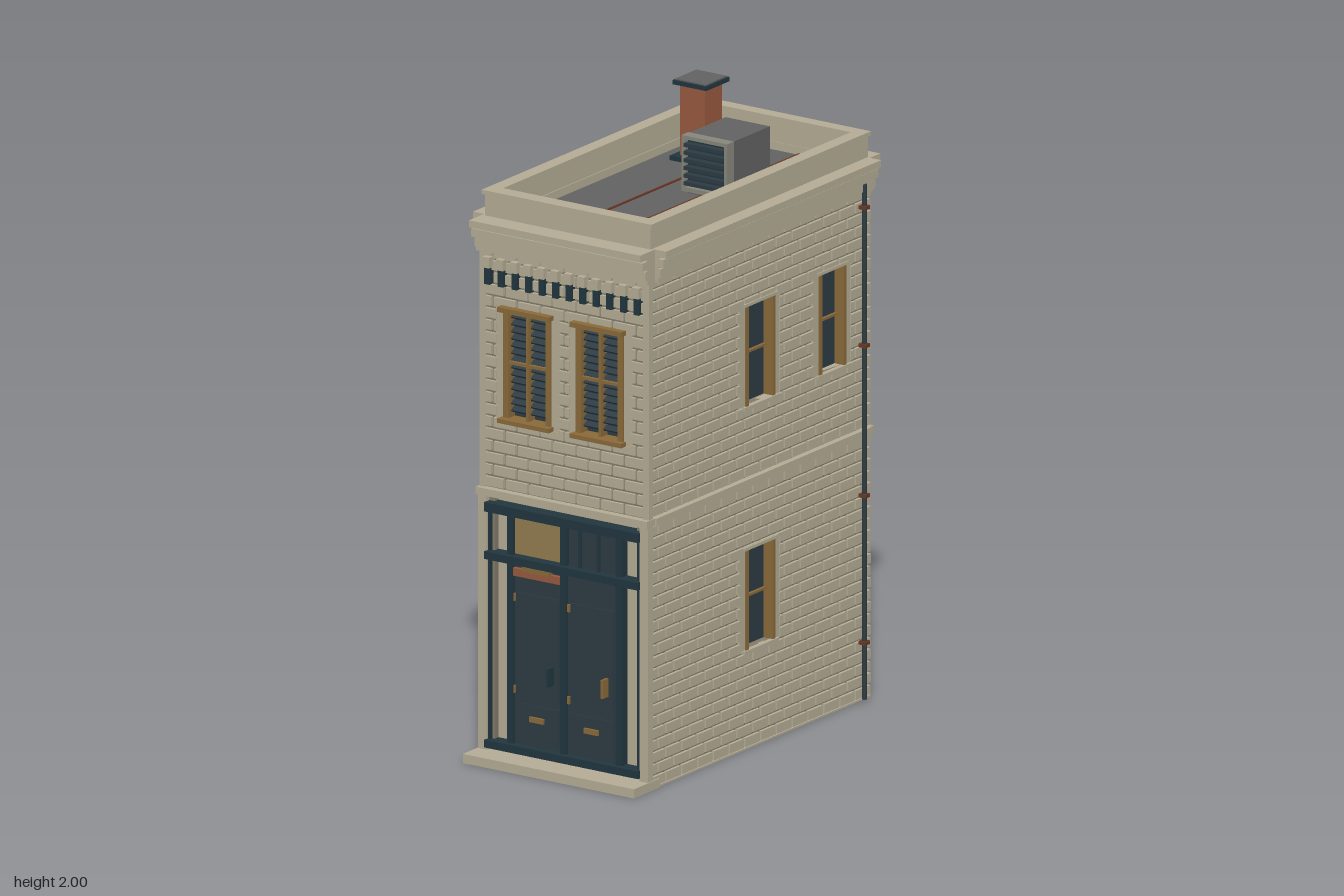
import * as THREE from 'three';
import { mergeGeometries } from 'three/addons/utils/BufferGeometryUtils.js';

const paint = (name, color) => {
  const m = new THREE.MeshStandardMaterial({ color });
  m.name = name;
  return m;
};
const stone = paint('stone', 0xb4ac95), mortar = paint('mortar', 0x827b69);
const roofing = paint('roofing', 0x636263), glass = paint('glass', 0x2d3b43);
const navy = paint('navy', 0x22363f), wood = paint('wood', 0x8a6a3a);
const clay = paint('clay', 0x98593f), rust = paint('rust', 0x6b3826);
const tan = paint('tan', 0x937c50), metal = paint('metal', 0x88867c);

// Box geometry from its minimum and maximum corners
const boxGeo = (x0, x1, y0, y1, z0, z1) =>
  new THREE.BoxGeometry(x1 - x0, y1 - y0, z1 - z0).translate((x0 + x1) / 2, (y0 + y1) / 2, (z0 + z1) / 2);

function add(parent, name, mat, geos) {
  const mesh = new THREE.Mesh(Array.isArray(geos) ? mergeGeometries(geos) : geos, mat);
  mesh.name = name;
  parent.add(mesh);
  return mesh;
}

function group(parent, name) {
  const g = new THREE.Group();
  g.name = name;
  parent.add(g);
  return g;
}

// Running-bond courses, cut away around openings [u0, u1, y0, y1]
function brickCourses(u0, u1, y0, y1, holes) {
  const rows = Math.round((y1 - y0) / 0.0395), pitch = (y1 - y0) / rows;
  const cols = Math.round((u1 - u0) / 0.087), step = (u1 - u0) / cols;
  const out = [];
  for (let r = 0; r < rows; r++) {
    const b = y0 + r * pitch + 0.0045, t = b + pitch - 0.009;
    for (let c = 0; c <= cols; c++) {
      const s = u0 + (c - (r % 2) / 2) * step;
      let parts = [[Math.max(s + 0.004, u0), Math.min(s + step - 0.004, u1), b, t]];
      for (const [h0, h1, g0, g1] of holes) {
        parts = parts.flatMap(([p, q, l, h]) => {
          if (h <= g0 || l >= g1 || q <= h0 || p >= h1) return [[p, q, l, h]];
          const m0 = Math.max(p, h0), m1 = Math.min(q, h1);
          return [[p, m0, l, h], [m1, q, l, h], [m0, m1, l, g0], [m0, m1, g1, h]];
        });
      }
      for (const [p, q, l, h] of parts)
        if (q - p > 0.006 && h - l > 0.004) out.push(boxGeo(p, q, l, h, -0.005, 0.01));
    }
  }
  return out;
}

// Mortar slab with real openings; its outer face lies on local z = 0
function wallSlab(u0, u1, holes) {
  const s = new THREE.Shape([[u0, 0], [u1, 0], [u1, 1.72], [u0, 1.72]].map(p => new THREE.Vector2(...p)));
  for (const [a, b, c, d] of holes)
    s.holes.push(new THREE.Path([[a, c], [a, d], [b, d], [b, c]].map(p => new THREE.Vector2(...p))));
  return new THREE.ExtrudeGeometry(s, { depth: 0.04, bevelEnabled: false }).translate(0, 0, -0.04);
}

// Flat stone margins either side of an opening
const margins = ([a, b, c, d]) => [
  boxGeo(a - 0.03, a, c, d, -0.01, 0.007), boxGeo(b, b + 0.03, c, d, -0.01, 0.007)];

// Window set back in its opening; sashes add a meeting rail, sill and head
function wallWindow(parent, hole, sashed) {
  const [a, b, c, d] = hole, m = (c + d) / 2;
  const g = group(parent, 'window');
  add(g, 'windowGlass', glass, boxGeo(a, b, c, d, -0.045, -0.025));
  const frame = [boxGeo(a, a + 0.014, c, d, -0.03, 0.012), boxGeo(b - 0.014, b, c, d, -0.03, 0.012)];
  const surround = margins(hole);
  if (sashed) {
    frame.push(boxGeo(a, b, m - 0.004, m + 0.004, -0.03, -0.015));
    surround.push(boxGeo(a - 0.012, b + 0.012, c - 0.012, c, -0.03, 0.016),
      boxGeo(a - 0.012, b + 0.012, d, d + 0.01, -0.03, 0.014));
  }
  add(g, 'windowFrame', wood, frame);
  add(g, 'windowSurround', stone, surround);
}

// Front window with louvred shutters
function shutterWindow(parent, hole) {
  const [a, b, c, d] = hole, mid = (a + b) / 2;
  const g = group(parent, 'shutterWindow');
  add(g, 'windowGlass', glass, boxGeo(a, b, c, d, -0.045, -0.025));
  const slats = [];
  for (let i = 0; i < 14; i++)
    slats.push(new THREE.BoxGeometry(b - a - 0.04, 0.006, 0.02).rotateX(0.6)
      .translate(mid, c + 0.04 + i * (d - c - 0.05) / 14, -0.012));
  add(g, 'louvres', glass, slats);
  add(g, 'windowFrame', wood, [
    boxGeo(a, a + 0.02, c, d, -0.03, 0.012), boxGeo(b - 0.02, b, c, d, -0.03, 0.012),
    boxGeo(a - 0.008, b + 0.008, d - 0.016, d, -0.03, 0.034),
    boxGeo(a - 0.008, b + 0.008, c, c + 0.014, -0.03, 0.034),
    boxGeo(mid - 0.005, mid + 0.005, c, d, -0.03, 0.009),
    boxGeo(a, b, 1.3, 1.31, -0.03, 0.009)]);
  add(g, 'windowSurround', stone, margins(hole));
}

function shopFront(parent) {
  const g = group(parent, 'shopFront');
  add(g, 'shopBacking', stone, boxGeo(-0.295, 0.295, 0.03, 0.86, -0.04, -0.02));
  add(g, 'shopBars', navy, [[0.81, 0.84], [0.655, 0.68], [0.04, 0.065]].map(([c, d]) =>
    boxGeo(-0.292, 0.292, c, d, -0.03, 0.028)));
  add(g, 'shopPosts', navy, [-0.283, -0.205, -0.004, 0.208, 0.283].map((x, i) => {
    const w = i % 4 ? 0.011 : 0.004;
    return boxGeo(x - w, x + w, 0.04, 0.83, -0.03, 0.012);
  }));
  for (const x of [-0.105, 0.102]) {
    const d = group(g, 'door');
    add(d, 'doorLeaf', glass, [boxGeo(x - 0.095, x + 0.095, 0.06, 0.66, -0.03, 0),
      ...[[0.085, 0.2], [0.225, 0.56]].map(([c, e]) => boxGeo(x - 0.08, x + 0.08, c, e, -0.01, 0.004))]);
    add(d, 'mailSlot', wood, boxGeo(x - 0.027, x + 0.027, 0.147, 0.164, 0, 0.012));
    add(d, 'doorHandle', x < 0 ? navy : wood, boxGeo(x + 0.053, x + 0.062, 0.28, 0.34, 0, 0.034));
    add(d, 'hinges', wood, [0.23, 0.53].map(y => boxGeo(x - 0.092, x - 0.084, y, y + 0.025, 0, 0.008)));
  }
  add(g, 'transomPanel', tan, boxGeo(-0.19, -0.018, 0.685, 0.802, -0.03, 0.004));
  add(g, 'transomGlass', glass, boxGeo(0.01, 0.2, 0.68, 0.81, -0.03, -0.002));
  add(g, 'transomBars', navy, [0.055, 0.125].map(x => boxGeo(x - 0.005, x + 0.005, 0.68, 0.81, -0.02, 0.006)));
  add(g, 'doorLintel', clay, boxGeo(-0.192, -0.014, 0.615, 0.64, -0.01, 0.014));
  add(g, 'lintelBlock', wood, boxGeo(-0.155, -0.05, 0.636, 0.656, -0.01, 0.02));
}

// Hollow rectangular ring of four boxes
const ring = (x, zb, zf, ix, izb, izf, y0, y1) => [
  boxGeo(-x, -ix, y0, y1, zb, zf), boxGeo(ix, x, y0, y1, zb, zf),
  boxGeo(-ix, ix, y0, y1, zb, izb), boxGeo(-ix, ix, y0, y1, izf, zf)];

// Moulding band with notched corners
const band = ([x, zb, zf, y0, y1]) => [
  boxGeo(-x, -0.28, y0, y1, -0.615, 0.555), boxGeo(0.28, x, y0, y1, -0.615, 0.555),
  boxGeo(-0.325, 0.325, y0, y1, zb, -0.585), boxGeo(-0.325, 0.325, y0, y1, 0.525, zf)];

export function createModel() {
  const model = new THREE.Group();
  model.name = 'townhouse';
  add(model, 'core', mortar, boxGeo(-0.27, 0.27, 0.002, 1.72, -0.575, 0.535));
  add(model, 'floorSlab', stone, boxGeo(-0.318, 0.318, 0, 0.006, -0.627, 0.58));
  add(model, 'frontStep', stone, boxGeo(-0.325, 0.325, 0, 0.03, 0.53, 0.67));

  // Side and back walls
  const sideHoles = [[-0.055, 0.105, 1.12, 1.445], [0.345, 0.492, 1.12, 1.445], [-0.055, 0.105, 0.325, 0.65]];
  const backHoles = [-0.145, 0.145].flatMap(x => [[x - 0.08, x + 0.08, 1.13, 1.46], [x - 0.08, x + 0.08, 0.335, 0.665]]);
  const flip = holes => holes.map(([a, b, c, d]) => [-b, -a, c, d]);
  const pad = holes => holes.map(([a, b, c, d]) => [a - 0.026, b + 0.026, c, d]);
  const walls = [
    ['leftWall', Math.PI / 2, 0.31, 0, -0.575, 0.618, sideHoles],
    ['rightWall', -Math.PI / 2, -0.31, 0, -0.618, 0.575, flip(sideHoles)],
    ['backWall', Math.PI, 0, -0.618, -0.31, 0.31, backHoles]];
  for (const [name, turn, x, z, u0, u1, holes] of walls) {
    const g = group(model, name);
    g.position.set(x, 0, z);
    g.rotation.y = turn;
    add(g, 'mortarWall', mortar, wallSlab(u0, u1, holes));
    add(g, 'bricks', stone, [[0.005, 0.86], [0.885, 1.67]].flatMap(([c, d]) =>
      brickCourses(u0 - (name === 'rightWall' ? 0.01 : 0), u1 + (name === 'leftWall' ? 0.01 : 0), c, d, pad(holes))));
    holes.forEach(h => wallWindow(g, h, name !== 'backWall'));
  }

  // Front wall
  const front = group(model, 'frontWall');
  front.position.z = 0.575;
  const frontHoles = [-0.14, 0.135].map(x => [x - 0.09, x + 0.09, 1.11, 1.488]);
  add(front, 'mortarWall', mortar, wallSlab(-0.31, 0.31, [...frontHoles, [-0.292, 0.292, 0.03, 0.86]]));
  add(front, 'bricks', stone, brickCourses(-0.318, 0.318, 0.885, 1.67, pad(frontHoles)));
  frontHoles.forEach(h => shutterWindow(front, h));
  shopFront(front);
  add(front, 'cornerPiers', stone, [-1, 1].flatMap(s => [
    boxGeo(Math.min(s * 0.29, s * 0.322), Math.max(s * 0.29, s * 0.322), 0.03, 0.86, -0.012, 0.016),
    boxGeo(Math.min(s * 0.3, s * 0.322), Math.max(s * 0.3, s * 0.322), 0.88, 1.67, -0.012, 0.01)]));

  // Dentils under the front cornice
  const dentils = [], brackets = [];
  for (let i = 0; i < 12; i++) {
    const x = -0.285 + i * 0.0515;
    dentils.push(boxGeo(x - 0.01, x + 0.01, 1.55, 1.605, 0, 0.022));
    brackets.push(boxGeo(x - 0.013, x + 0.013, 1.605, 1.64, 0, 0.028));
  }
  add(front, 'dentils', navy, dentils);
  add(front, 'brackets', stone, brackets);

  // String course, stepped cornice and parapet
  add(model, 'stringCourse', stone, band([0.33, -0.636, 0.6, 0.86, 0.884]));
  add(model, 'cornice', stone, [
    [0.335, -0.638, 0.598, 1.655, 1.745], [0.345, -0.645, 0.608, 1.67, 1.7],
    [0.357, -0.66, 0.625, 1.706, 1.733], [0.367, -0.671, 0.636, 1.739, 1.762]].flatMap(band));
  add(model, 'parapet', stone, [
    ...ring(0.315, -0.617, 0.565, 0.283, -0.587, 0.527, 1.7, 1.832),
    ...ring(0.322, -0.624, 0.572, 0.276, -0.58, 0.52, 1.832, 1.846)]);

  // Roof deck and seams
  add(model, 'roofDeck', roofing, boxGeo(-0.284, 0.284, 1.715, 1.735, -0.588, 0.528));
  add(model, 'roofSeams', rust, [-0.08, 0.077].map(x => boxGeo(x - 0.003, x + 0.003, 1.73, 1.74, -0.585, 0.525)));

  // Chimney
  const chimney = group(model, 'chimney');
  chimney.position.set(-0.153, 0, -0.38);
  add(chimney, 'chimneyStack', clay, boxGeo(-0.047, 0.047, 1.73, 1.982, -0.047, 0.047));
  add(chimney, 'chimneyTrim', navy, [
    boxGeo(-0.07, 0.07, 1.73, 1.75, -0.07, 0.07), boxGeo(-0.064, 0.064, 1.982, 1.996, -0.064, 0.064)]);
  add(chimney, 'chimneyCap', roofing, boxGeo(-0.058, 0.058, 1.99, 2, -0.058, 0.058));

  // Rooftop ventilation unit with a hooded grille
  const vent = group(model, 'ventUnit');
  vent.position.set(0.105, 0, 0);
  add(vent, 'ventBody', roofing, boxGeo(-0.084, 0.084, 1.73, 1.93, -0.265, -0.06));
  add(vent, 'ventHood', metal, [
    boxGeo(-0.087, -0.074, 1.75, 1.932, -0.065, -0.028), boxGeo(0.074, 0.087, 1.75, 1.932, -0.065, -0.028),
    boxGeo(-0.074, 0.074, 1.75, 1.764, -0.065, -0.028), boxGeo(-0.074, 0.074, 1.92, 1.932, -0.065, -0.028)]);
  add(vent, 'ventBack', navy, boxGeo(-0.076, 0.076, 1.76, 1.925, -0.062, -0.045));
  add(vent, 'ventSlats', glass, [0, 1, 2, 3, 4, 5].map(i =>
    boxGeo(-0.074, 0.074, 1.772 + i * 0.025, 1.784 + i * 0.025, -0.055, -0.022)));

  // Downpipes at the rear of both sides
  for (const s of [-1, 1]) {
    const pipe = group(model, 'downpipe');
    pipe.position.set(s * 0.345, 0, -0.555);
    add(pipe, 'pipe', glass, new THREE.CylinderGeometry(0.008, 0.008, 1.68, 10).translate(0, 0.855, 0));
    add(pipe, 'pipeClamps', rust, [0.2, 0.68, 1.17, 1.62].map(y => boxGeo(-0.013, 0.013, y - 0.006, y + 0.006, -0.012, 0.012)));
  }
  return model;
}
